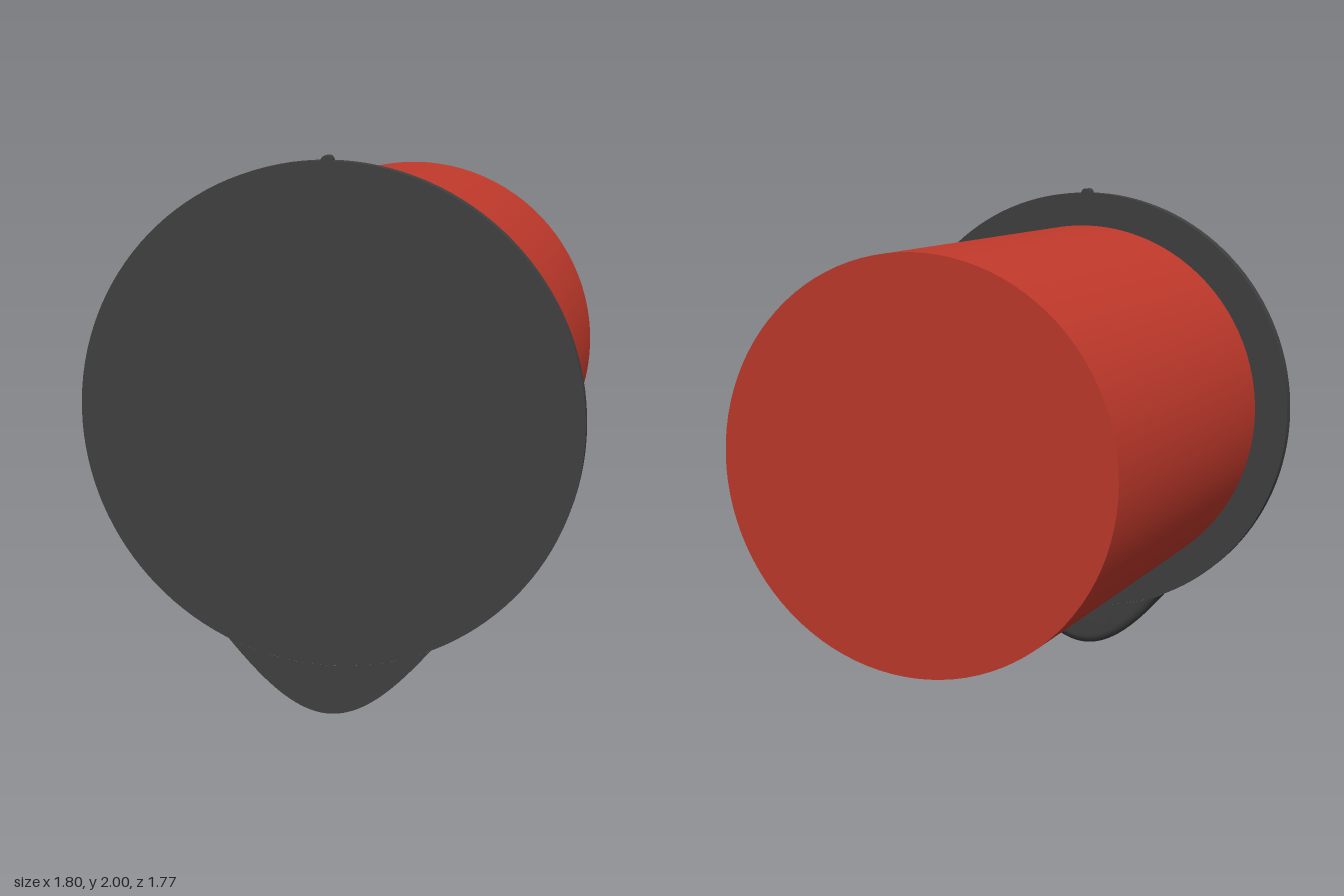
import * as THREE from 'three';
import { toCreasedNormals } from 'three/addons/utils/BufferGeometryUtils.js';

const CENTER_Y = 1.082, FRONT = 0.885, BACK = 0.835, PLATE_R = 0.9;

// Cylinder lying along z between two depths
function zCylinder(name, radius, y, z0, z1, segments, material) {
  const geometry = new THREE.CylinderGeometry(radius, radius, z1 - z0, segments).rotateX(Math.PI / 2);
  const mesh = new THREE.Mesh(geometry, material);
  mesh.name = name;
  mesh.position.set(0, y, (z0 + z1) / 2);
  return mesh;
}

// Crescent lip: swept from the plate rim to a pointed curve, its back edge rounded
function lipGeometry() {
  const endX = 0.37;
  const endY = CENTER_Y - Math.sqrt(PLATE_R ** 2 - endX ** 2);
  const half = new THREE.CubicBezierCurve(
    new THREE.Vector2(endX, endY), new THREE.Vector2(0.25, 0.12),
    new THREE.Vector2(0.13, 0), new THREE.Vector2(0, 0));
  const right = half.getPoints(24);
  const outline = [
    ...right.map((p) => new THREE.Vector2(-p.x, p.y)),
    ...right.slice(0, -1).reverse(),
  ];
  const round = 0.04, steps = 6;
  const positions = [], index = [];
  let count = 0;
  outline.forEach((outer, i) => {
    const inner = new THREE.Vector2(outer.x, CENTER_Y - Math.sqrt(PLATE_R ** 2 - outer.x ** 2));
    // Sides pull in along the outline normal, limited by the room left
    const a = outline[Math.max(i - 1, 0)], b = outline[Math.min(i + 1, outline.length - 1)];
    const inward = new THREE.Vector2(a.y - b.y, b.x - a.x).normalize();
    const inset = Math.min(round, inner.distanceTo(outer));
    const section = [[inner.x, inner.y, FRONT], [outer.x, outer.y, FRONT]];
    for (let s = 0; s <= steps; s++) {
      const angle = (s / steps) * Math.PI / 2;
      const d = inset * (1 - Math.cos(angle));
      section.push([outer.x + inward.x * d, outer.y + inward.y * d, BACK + round * (1 - Math.sin(angle))]);
    }
    section.push([inner.x, inner.y, BACK]);
    count = section.length;
    positions.push(...section.flat());
  });
  for (let i = 0; i < outline.length - 1; i++) {
    for (let j = 0; j < count - 1; j++) {
      const a = i * count + j, b = a + count;
      index.push(a, a + 1, b, b, a + 1, b + 1);
    }
  }
  const geometry = new THREE.BufferGeometry();
  geometry.setAttribute('position', new THREE.Float32BufferAttribute(positions, 3));
  geometry.setIndex(index);
  return toCreasedNormals(geometry, Math.PI / 5);
}

export function createModel() {
  const group = new THREE.Group();
  group.name = 'plugWithLippedCover';
  const red = new THREE.MeshStandardMaterial({ color: 0xc0392b });
  const dark = new THREE.MeshStandardMaterial({ color: 0x404040 });

  // Solid round body behind the cover
  group.add(zCylinder('body', 0.762, CENTER_Y, -FRONT, BACK, 96, red));

  // Cover plate with a small marker nub on top
  group.add(zCylinder('coverPlate', PLATE_R, CENTER_Y, BACK, FRONT, 128, dark));
  group.add(zCylinder('topNub', 0.02, 1.98, BACK, FRONT, 24, dark));

  // Finger lip below the cover
  const lip = new THREE.Mesh(lipGeometry(), dark);
  lip.name = 'fingerLip';
  group.add(lip);

  return group;
}
